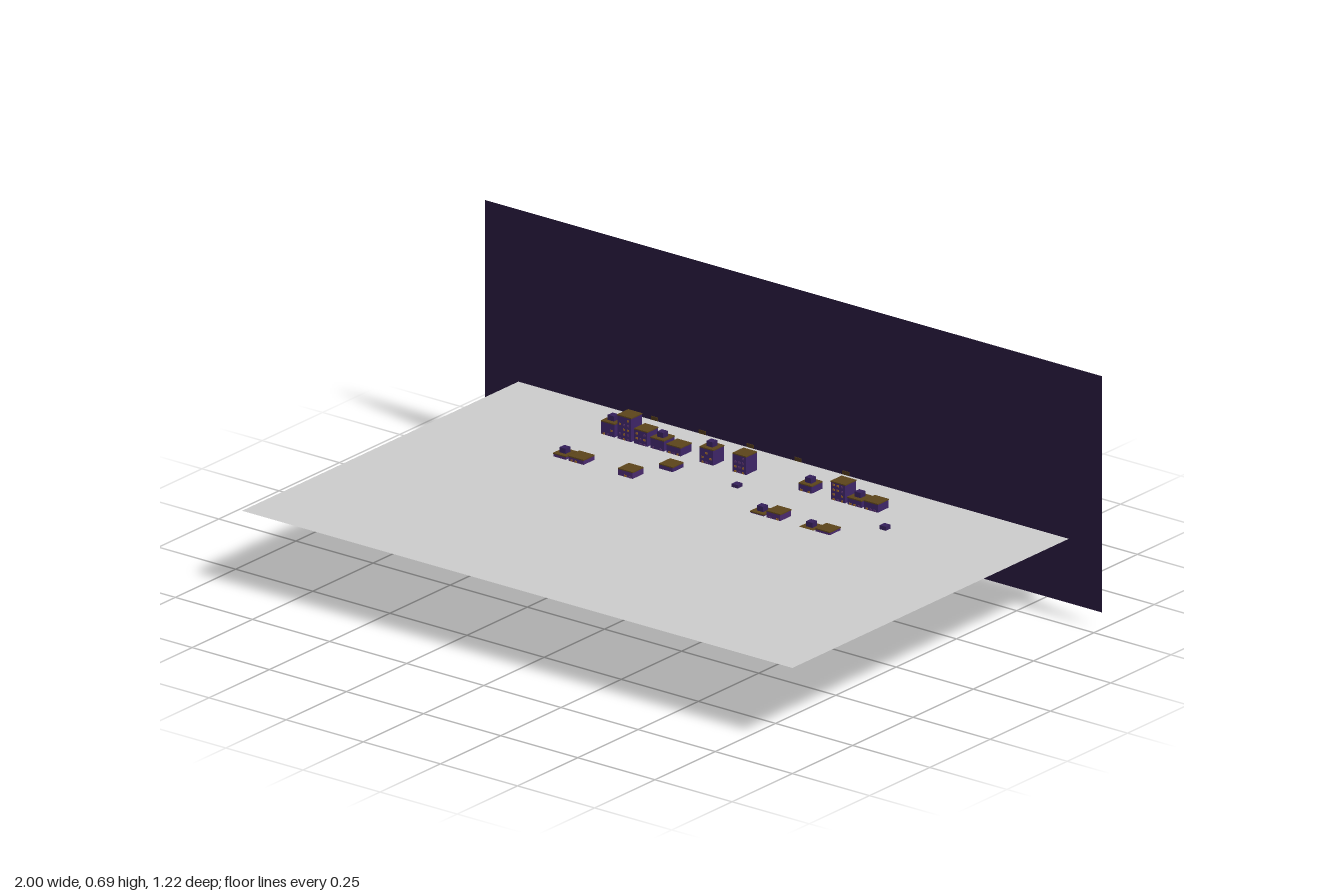
import * as THREE from 'three';
import { mergeGeometries } from 'three/addons/utils/BufferGeometryUtils.js';

const mat = (color, side = THREE.FrontSide) => new THREE.MeshStandardMaterial({ color, side });

function box(w, h, d, x, y, z) {
  return new THREE.BoxGeometry(w, h, d).translate(x, y, z);
}

// small seeded generator for heights, widths and lit windows
function seeded(seed) {
  return () => {
    seed = (seed * 16807) % 2147483647;
    return seed / 2147483647;
  };
}

const STEP = 0.0533, COUNT = 19, DEPTH = 0.045;

// overall heights of the towers that rise above the ground sheet, by column index
const ROWS = [
  { name: 'frontRow', z: -0.2, color: 0x4a2a6e,
    tall: { 0: 0.245, 1: 0.235, 4: 0.24, 12: 0.24, 13: 0.24, 15: 0.235, 16: 0.23 } },
  { name: 'middleRow', z: -0.3, color: 0x3f2668,
    tall: { 5: 0.235, 9: 0.23, 18: 0.232 } },
  { name: 'backRow', z: -0.4, color: 0x3d2566,
    tall: { 0: 0.272, 1: 0.287, 2: 0.262, 3: 0.265, 4: 0.245, 6: 0.278, 8: 0.272,
      12: 0.256, 14: 0.272, 15: 0.255, 16: 0.245 } },
];

function buildRow(row, rand) {
  const group = new THREE.Group();
  group.name = row.name;
  const towers = [], roofs = [], units = [], lit = [], dim = [];

  for (let i = 0; i < COUNT; i++) {
    const x = (i - (COUNT - 1) / 2) * STEP;
    const total = row.tall[i] ?? 0.15 + rand() * 0.06;
    const hasUnit = i % 3 === 0;
    const h = total - (hasUnit ? 0.014 : 0);
    const w = 0.04 + rand() * 0.009;

    towers.push(box(w, h - 0.003, DEPTH, x, (h - 0.003) / 2, row.z));
    roofs.push(box(w + 0.001, 0.003, DEPTH + 0.001, x, h - 0.0015, row.z));
    if (hasUnit) units.push(box(0.02, 0.014, 0.02, x, h + 0.007, row.z));

    // window grid on the front face
    for (let y = 0.016; y < h - 0.008; y += 0.013) {
      for (let c = -1; c <= 1; c++) {
        const r = rand();
        if (r < 0.25) continue;
        const win = box(0.006, 0.005, 0.002, x + c * w * 0.29, y, row.z + DEPTH / 2 + 0.0005);
        (r > 0.6 ? lit : dim).push(win);
      }
    }
  }

  const add = (name, parts, color) => {
    const mesh = new THREE.Mesh(mergeGeometries(parts), mat(color));
    mesh.name = name;
    group.add(mesh);
  };
  add('towers', towers, row.color);
  add('roofCaps', roofs, 0x5c441a);
  add('roofUnits', units, 0x35205a);
  add('litWindows', lit, 0x9a6528);
  add('dimWindows', dim, 0x5a3470);
  return group;
}

export function createModel() {
  const model = new THREE.Group();
  model.name = 'skyline';

  // night sky backdrop
  const sky = new THREE.Mesh(new THREE.PlaneGeometry(2, 0.648), mat(0x251739, THREE.DoubleSide));
  sky.name = 'skyBackdrop';
  sky.position.set(0, 0.369, -0.534);
  model.add(sky);

  // level sheet crossing the towers
  const sheet = new THREE.Mesh(new THREE.PlaneGeometry(1.784, 1.224), mat(0xcccccc, THREE.DoubleSide));
  sheet.name = 'groundSheet';
  sheet.rotation.x = -Math.PI / 2;
  sheet.position.y = 0.221;
  model.add(sheet);

  // three rows of towers
  const rand = seeded(4711);
  for (const row of ROWS) model.add(buildRow(row, rand));

  // small hovering lights above the back of the city
  const lights = [];
  for (let i = -2; i <= 2; i++) lights.push(box(0.022, 0.01, 0.002, i * 0.155, 0.316, -0.354));
  const hover = new THREE.Mesh(mergeGeometries(lights), mat(0x4a3518));
  hover.name = 'hoverLights';
  model.add(hover);

  // thin dark slats just beneath the sheet
  const slats = [];
  for (let i = 0; i < 8; i++) {
    slats.push(box(0.012, 0.006 + (i % 3) * 0.002, 0.018, (i - 3.5) * 0.03, 0.213, -0.105 - i * 0.0185));
  }
  const slatMesh = new THREE.Mesh(mergeGeometries(slats), mat(0x0c0a12));
  slatMesh.name = 'darkSlats';
  model.add(slatMesh);

  return model;
}
